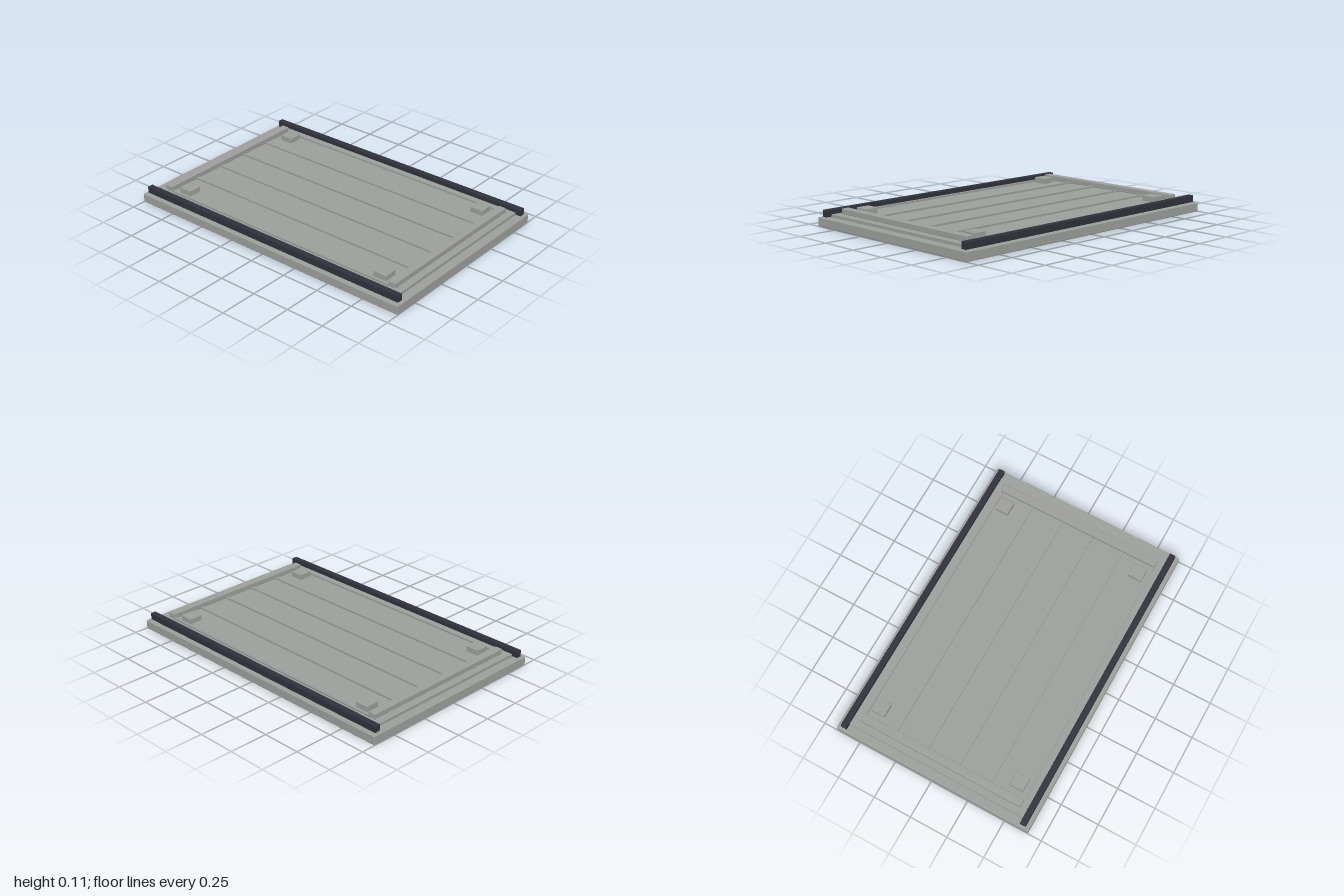
import * as THREE from 'three';
import { RoundedBoxGeometry } from 'three/addons/geometries/RoundedBoxGeometry.js';

export function createModel() {
  const model = new THREE.Group();
  model.name = 'slidingPanel';

  const panelGrey = new THREE.MeshStandardMaterial({ color: 0x9c9e9b });
  panelGrey.name = 'panelGrey';
  const railDark = new THREE.MeshStandardMaterial({ color: 0x30303c });
  railDark.name = 'railDark';

  // Box given by its centre on the ground plane, its size and its bottom and top heights
  function block(name, material, x, z, width, depth, bottom, top, bevel = 0) {
    const height = top - bottom;
    const geometry = bevel
      ? new RoundedBoxGeometry(width, height, depth, 2, bevel)
      : new THREE.BoxGeometry(width, height, depth);
    const mesh = new THREE.Mesh(geometry, material);
    mesh.name = name;
    mesh.position.set(x, (bottom + top) / 2, z);
    model.add(mesh);
  }

  // Base slab and the thinner deck on it
  block('baseSlab', panelGrey, 0, 0, 1.32, 2, 0, 0.057, 0.005);
  block('deck', panelGrey, 0, 0, 1.23, 1.89, 0.05, 0.075);

  // Lengthwise ribs between the end bars
  for (const x of [-0.545, -0.325, -0.108, 0.108, 0.325, 0.545]) {
    block('rib', panelGrey, x, 0, 0.016, 1.71, 0.07, 0.087);
  }

  for (const side of [-1, 1]) {
    // Dark side rails and raised end bars
    block('sideRail', railDark, side * 0.616, 0, 0.038, 1.966, 0.06, 0.104, 0.004);
    block('endBar', panelGrey, 0, side * 0.877, 1.105, 0.05, 0.078, 0.111, 0.003);

    // Corner pads
    for (const end of [-1, 1]) {
      block('cornerPad', panelGrey, side * 0.477, end * 0.768, 0.09, 0.088, 0.07, 0.111, 0.003);
    }
  }

  return model;
}
